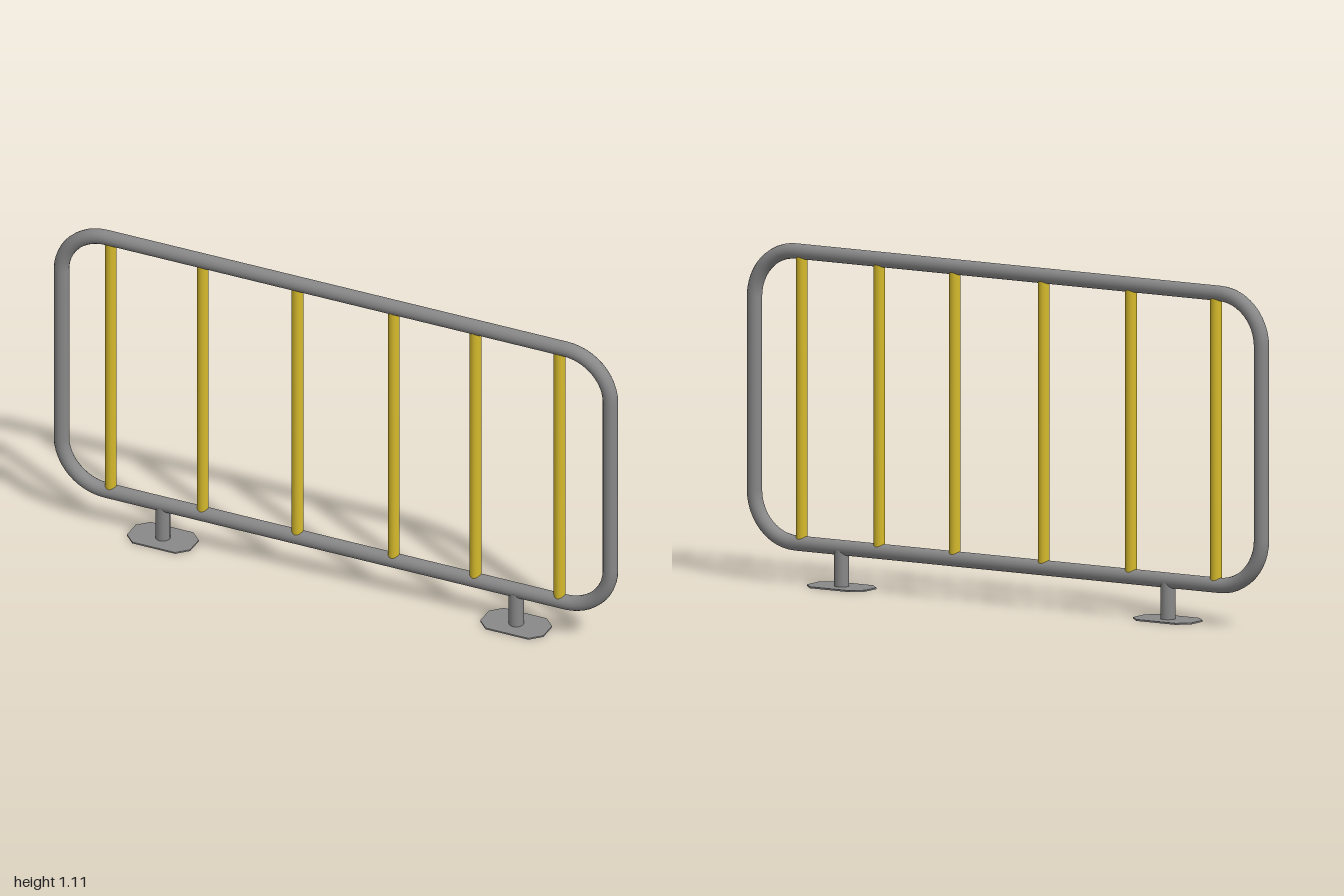
import * as THREE from 'three';
import { mergeGeometries } from 'three/addons/utils/BufferGeometryUtils.js';

const TUBE = 0.025, BEND = 0.16;          // pipe radius, corner centreline radius
const HALF_X = 0.975, LOW = 0.13, HIGH = 1.08;

export function createModel() {
  const group = new THREE.Group();
  const steel = new THREE.MeshStandardMaterial({ color: 0x888888 });
  const yellow = new THREE.MeshStandardMaterial({ color: 0xd6ba2c });

  const add = (name, geometry, material, x = 0, y = 0, z = 0) => {
    const mesh = new THREE.Mesh(geometry, material);
    mesh.name = name;
    mesh.position.set(x, y, z);
    group.add(mesh);
  };

  // Frame: four straight pipes joined by quarter bends
  const midY = (LOW + HIGH) / 2, halfY = (HIGH - LOW) / 2;
  const cx = HALF_X - BEND, cy = halfY - BEND;
  const pieces = [];
  for (const s of [-1, 1]) {
    pieces.push(new THREE.CylinderGeometry(TUBE, TUBE, 2 * cx, 16, 1, true)
      .rotateZ(Math.PI / 2).translate(0, s * halfY, 0));
    pieces.push(new THREE.CylinderGeometry(TUBE, TUBE, 2 * cy, 16, 1, true)
      .translate(s * HALF_X, 0, 0));
  }
  [[1, 1], [-1, 1], [-1, -1], [1, -1]].forEach(([sx, sy], i) => {
    pieces.push(new THREE.TorusGeometry(BEND, TUBE, 16, 12, Math.PI / 2)
      .rotateZ(i * Math.PI / 2).translate(sx * cx, sy * cy, 0));
  });
  add('frame', mergeGeometries(pieces), steel, 0, midY);

  // Upright bars, unevenly spaced, ending inside the pipes
  const barGeometry = new THREE.CylinderGeometry(0.019, 0.019, HIGH - LOW - 0.02, 16);
  [-0.8, -0.473, -0.137, 0.205, 0.495, 0.794].forEach((x, i) =>
    add('bar' + (i + 1), barGeometry, yellow, x, midY));

  // Feet: short post on a flat plate with cut corners
  const w = 0.112, d = 0.069, cut = 0.036;
  const outline = new THREE.Shape([
    [w, cut - d], [w, d - cut], [w - cut, d], [cut - w, d],
    [-w, d - cut], [-w, cut - d], [cut - w, -d], [w - cut, -d],
  ].map(([x, y]) => new THREE.Vector2(x, y)));
  const plate = new THREE.ExtrudeGeometry(outline, { depth: 0.005, bevelEnabled: false })
    .rotateX(-Math.PI / 2);
  const post = new THREE.CylinderGeometry(0.0245, 0.0245, 0.121, 16);
  [['right', -0.615], ['left', 0.64]].forEach(([side, x]) => {
    add(side + 'FootPost', post, steel, x, 0.0645);
    add(side + 'FootPlate', plate, steel, x);
  });

  return group;
}
